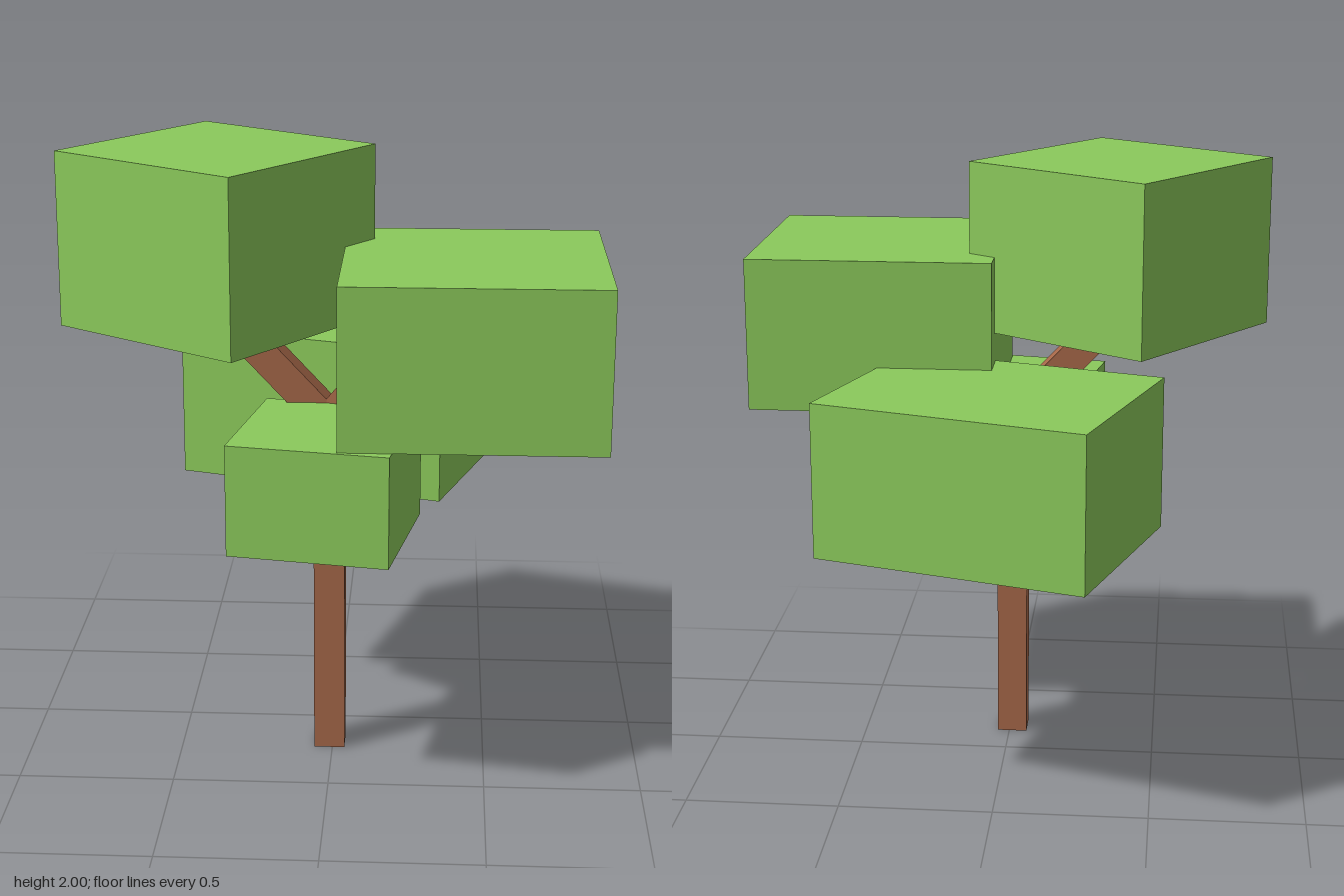
import * as THREE from 'three';

export function createModel() {
  const tree = new THREE.Group();
  tree.name = 'tree';
  const leafGreen = new THREE.MeshStandardMaterial({ color: 0x8bc95b });
  leafGreen.name = 'leafGreen';
  const barkBrown = new THREE.MeshStandardMaterial({ color: 0xa8694a });
  barkBrown.name = 'barkBrown';

  // Square beam running between two points
  function beam(name, from, to, thickness = 0.1) {
    const a = new THREE.Vector3(...from);
    const b = new THREE.Vector3(...to);
    const mesh = new THREE.Mesh(new THREE.BoxGeometry(thickness, thickness, a.distanceTo(b)), barkBrown);
    mesh.name = name;
    mesh.position.copy(a).lerp(b, 0.5);
    mesh.lookAt(b);
    tree.add(mesh);
  }

  // Block of leaves, turned about the vertical axis
  function foliage(name, [w, h, d], [x, bottom, z], degrees) {
    const mesh = new THREE.Mesh(new THREE.BoxGeometry(w, h, d), leafGreen);
    mesh.name = name;
    mesh.position.set(x, bottom + h / 2, z);
    mesh.rotation.y = THREE.MathUtils.degToRad(degrees);
    tree.add(mesh);
  }

  // Trunk
  const trunk = new THREE.Mesh(new THREE.BoxGeometry(0.1, 1.16, 0.1), barkBrown);
  trunk.name = 'trunk';
  trunk.position.set(-0.01, 0.58, 0.19);
  tree.add(trunk);

  // Branches, each ending inside its block of leaves
  beam('rightBranch', [-0.01, 1.13, 0.19], [-0.36, 1.505, 0.19]);
  beam('leftBranch', [-0.01, 1.125, 0.19], [0.15, 1.33, 0.24]);
  beam('backBranch', [-0.01, 0.607, 0.19], [-0.01, 0.947, -0.15]);
  beam('frontBranch', [-0.01, 0.8, 0.22], [-0.01, 0.98, 0.4]);

  // Leaves
  foliage('rightFoliage', [0.7, 0.55, 0.7], [-0.36, 1.45, 0.185], -35);
  foliage('leftFoliage', [0.8, 0.5, 0.8], [0.44, 1.2, 0.34], 0);
  foliage('backFoliage', [0.9, 0.5, 0.71], [0.02, 0.85, -0.305], -17.5);
  foliage('frontFoliage', [0.5, 0.35, 0.5], [-0.007, 0.85, 0.488], -10);

  return tree;
}
